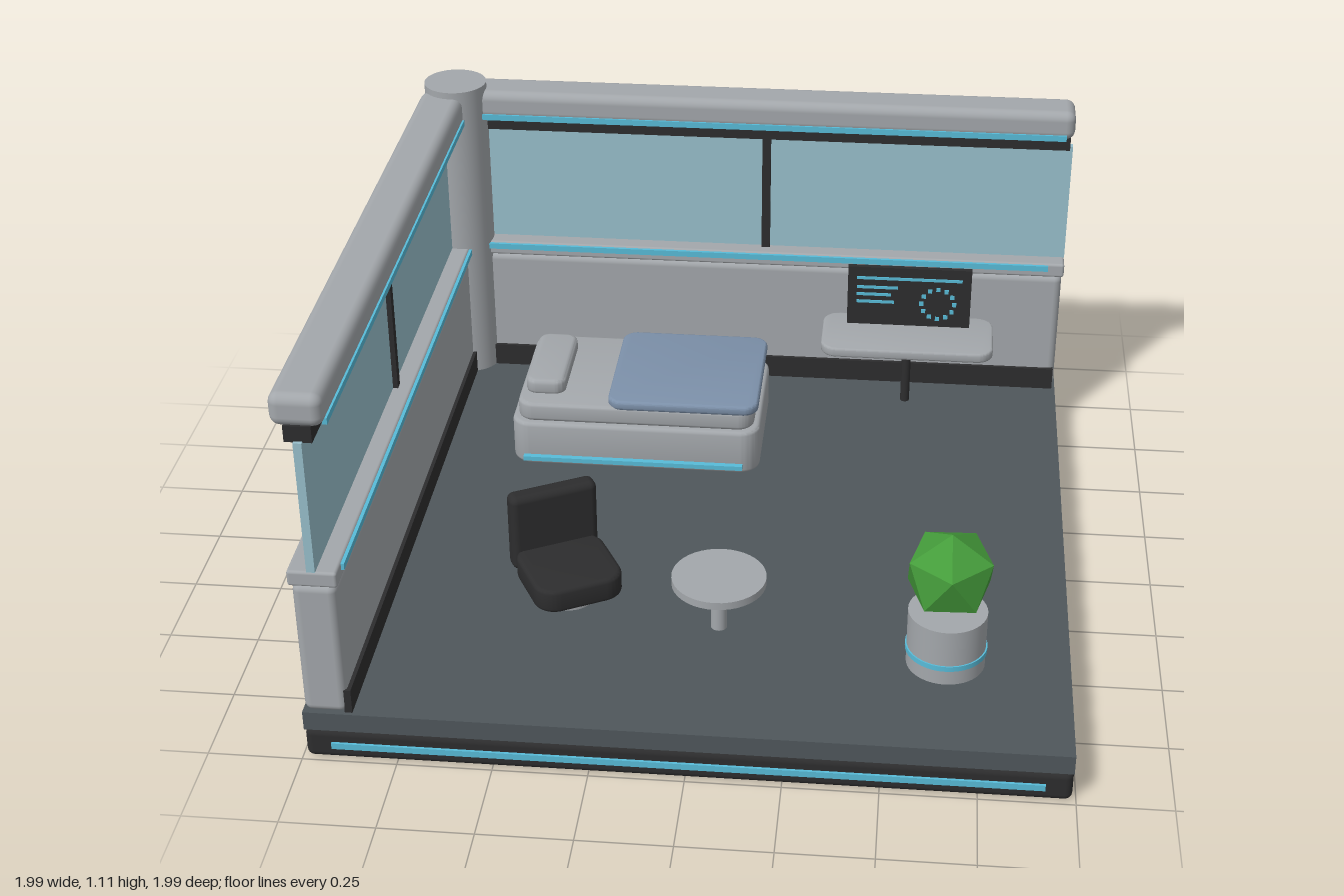
import * as THREE from 'three';
import { toCreasedNormals } from 'three/addons/utils/BufferGeometryUtils.js';
import { RoundedBoxGeometry } from 'three/addons/geometries/RoundedBoxGeometry.js';

const material = (name, color) => {
  const m = new THREE.MeshStandardMaterial({ color });
  m.name = name;
  return m;
};

export function createModel() {
  const grey = material('light grey', 0xa3a7ab);
  const slate = material('slate floor', 0x4f575b);
  const dark = material('charcoal', 0x2d2d2e);
  const glass = material('window blue', 0x98bfcb);
  const cyan = material('cyan light', 0x58bbd8);
  const blue = material('blanket blue', 0x7c90a9);
  const green = material('leaf green', 0x459c3b);
  green.flatShading = true;

  const room = new THREE.Group();
  room.name = 'room';

  const add = (parent, name, geometry, mat, x, y, z) => {
    const mesh = new THREE.Mesh(geometry, mat);
    mesh.name = name;
    mesh.position.set(x, y, z);
    parent.add(mesh);
    return mesh;
  };
  const group = (name, x = 0, y = 0, z = 0) => {
    const g = new THREE.Group();
    g.name = name;
    g.position.set(x, y, z);
    room.add(g);
    return g;
  };
  const box = (w, h, d) => new THREE.BoxGeometry(w, h, d);
  const soft = (w, h, d, r) => new RoundedBoxGeometry(w, h, d, 3, r);
  const cyl = (r, h) => new THREE.CylinderGeometry(r, r, h, 40);

  // Horizontal slab with rounded plan corners and a small bevel, standing on y = 0
  const slab = (w, h, d, r, bevel) => {
    const a = w / 2 - bevel, b = d / 2 - bevel, c = r - bevel;
    const s = new THREE.Shape();
    s.absarc(a - c, b - c, c, 0, Math.PI / 2);
    s.absarc(-a + c, b - c, c, Math.PI / 2, Math.PI);
    s.absarc(-a + c, -b + c, c, Math.PI, Math.PI * 1.5);
    s.absarc(a - c, -b + c, c, Math.PI * 1.5, Math.PI * 2);
    s.closePath();
    const g = new THREE.ExtrudeGeometry(s, {
      depth: h - 2 * bevel, bevelEnabled: true, bevelSize: bevel,
      bevelThickness: bevel, bevelSegments: 3, curveSegments: 8,
    });
    g.rotateX(-Math.PI / 2).translate(0, bevel, 0);
    return toCreasedNormals(g, 0.7);
  };

  // Platform with light strips on the two open sides
  const platform = group('platform');
  add(platform, 'base', soft(1.98, 0.09, 1.98, 0.02), dark, 0, 0.045, 0);
  add(platform, 'floor', box(1.98, 0.055, 1.98), slate, 0, 0.1175, 0);
  add(platform, 'frontLight', box(1.84, 0.018, 0.01), cyan, 0, 0.045, 0.992);
  add(platform, 'rightLight', box(0.01, 0.018, 1.84), cyan, 0.992, 0.045, 0);

  // Wall along local x; inner is the sign of the room side on local z
  const buildWall = (name, inner) => {
    const wall = group(name);
    const cx = 0.06, len = 1.86;
    add(wall, 'lowerPanel', soft(len - 0.01, 0.395, 0.115, 0.022), grey, cx, 0.3425, 0);
    add(wall, 'skirting', box(len - 0.02, 0.07, 0.02), dark, cx, 0.18, inner * 0.058);
    add(wall, 'sill', soft(len, 0.045, 0.128, 0.008), grey, cx, 0.5625, 0);
    add(wall, 'sillLight', box(1.76, 0.018, 0.012), cyan, cx, 0.572, inner * 0.066);
    add(wall, 'window', box(len, 0.375, 0.022), glass, cx, 0.7725, 0);
    add(wall, 'mullion', box(0.026, 0.38, 0.05), dark, cx, 0.7725, 0);
    add(wall, 'windowHead', box(len - 0.02, 0.045, 0.07), dark, cx, 0.9795, 0);
    add(wall, 'topRail', soft(len, 0.09, 0.135, 0.028), grey, cx, 1.045, 0);
    add(wall, 'topLight', box(1.81, 0.018, 0.012), cyan, cx, 1.011, inner * 0.066);
    return wall;
  };
  buildWall('backWall', 1).position.z = -0.928;
  const side = buildWall('sideWall', -1);
  side.position.x = -0.928;
  side.rotation.y = -Math.PI / 2;
  add(room, 'cornerColumn', cyl(0.094, 0.965), grey, -0.895, 0.6275, -0.895);

  // Bed
  const bed = group('bed', -0.282, 0.145, -0.498);
  add(bed, 'bedBase', slab(0.745, 0.14, 0.47, 0.06, 0.012), grey, 0, 0, 0);
  add(bed, 'mattress', slab(0.71, 0.06, 0.435, 0.05, 0.012), grey, 0, 0.138, 0);
  add(bed, 'blanket', slab(0.45, 0.03, 0.44, 0.045, 0.008), blue, 0.142, 0.19, 0);
  add(bed, 'pillow', slab(0.12, 0.05, 0.305, 0.035, 0.014), grey, -0.278, 0.191, 0);
  add(bed, 'bedLight', box(0.66, 0.014, 0.018), cyan, -0.005, 0.027, 0.243);

  // Desk and display
  const desk = group('desk', 0.516, 0, -0.638);
  add(desk, 'deskTop', slab(0.52, 0.03, 0.235, 0.05, 0.006), grey, 0, 0.415, 0);
  add(desk, 'deskPost', cyl(0.014, 0.285), dark, 0, 0.2875, -0.113);
  const display = group('display', 0.516, 0.542, -0.695);
  add(display, 'displayPanel', box(0.375, 0.196, 0.016), dark, 0, 0, 0);
  const lines = [[0.32, 0.062], [0.125, 0.031], [0.105, 0.007], [0.115, -0.018]];
  for (const [w, y] of lines)
    add(display, 'displayLine', box(w, 0.009, 0.004), cyan, -0.16 + w / 2, y, 0.009);
  for (let i = 0; i < 12; i++) {
    const a = (i / 12) * Math.PI * 2;
    add(display, 'displayDot', box(0.013, 0.013, 0.004), cyan,
      0.088 + 0.05 * Math.cos(a), -0.019 + 0.05 * Math.sin(a), 0.009);
  }

  // Chair, turned towards the table
  const chair = group('chair', -0.38, 0.145, 0.41);
  chair.rotation.y = 0.49;
  add(chair, 'chairPedestal', cyl(0.072, 0.05), grey, 0, 0.025, 0);
  add(chair, 'chairSeat', slab(0.25, 0.07, 0.25, 0.06, 0.012), dark, 0, 0.045, 0.005);
  add(chair, 'chairBack', soft(0.25, 0.235, 0.058, 0.02), dark, 0, 0.168, -0.122);

  // Round table
  const table = group('table', 0.045, 0, 0.515);
  add(table, 'tableTop', cyl(0.128, 0.022), grey, 0, 0.3, 0);
  add(table, 'tablePost', cyl(0.022, 0.15), grey, 0, 0.22, 0);

  // Potted plant
  const plant = group('plant', 0.658, 0, 0.615);
  add(plant, 'pot', cyl(0.105, 0.165), grey, 0, 0.2275, 0);
  add(plant, 'potBand', cyl(0.109, 0.015), cyan, 0, 0.197, 0);
  const leaves = new THREE.IcosahedronGeometry(0.127, 0);
  leaves.rotateZ(0.5536).rotateY(0.35).rotateX(0.12);
  add(plant, 'foliage', leaves, green, 0, 0.43, 0);

  return room;
}
